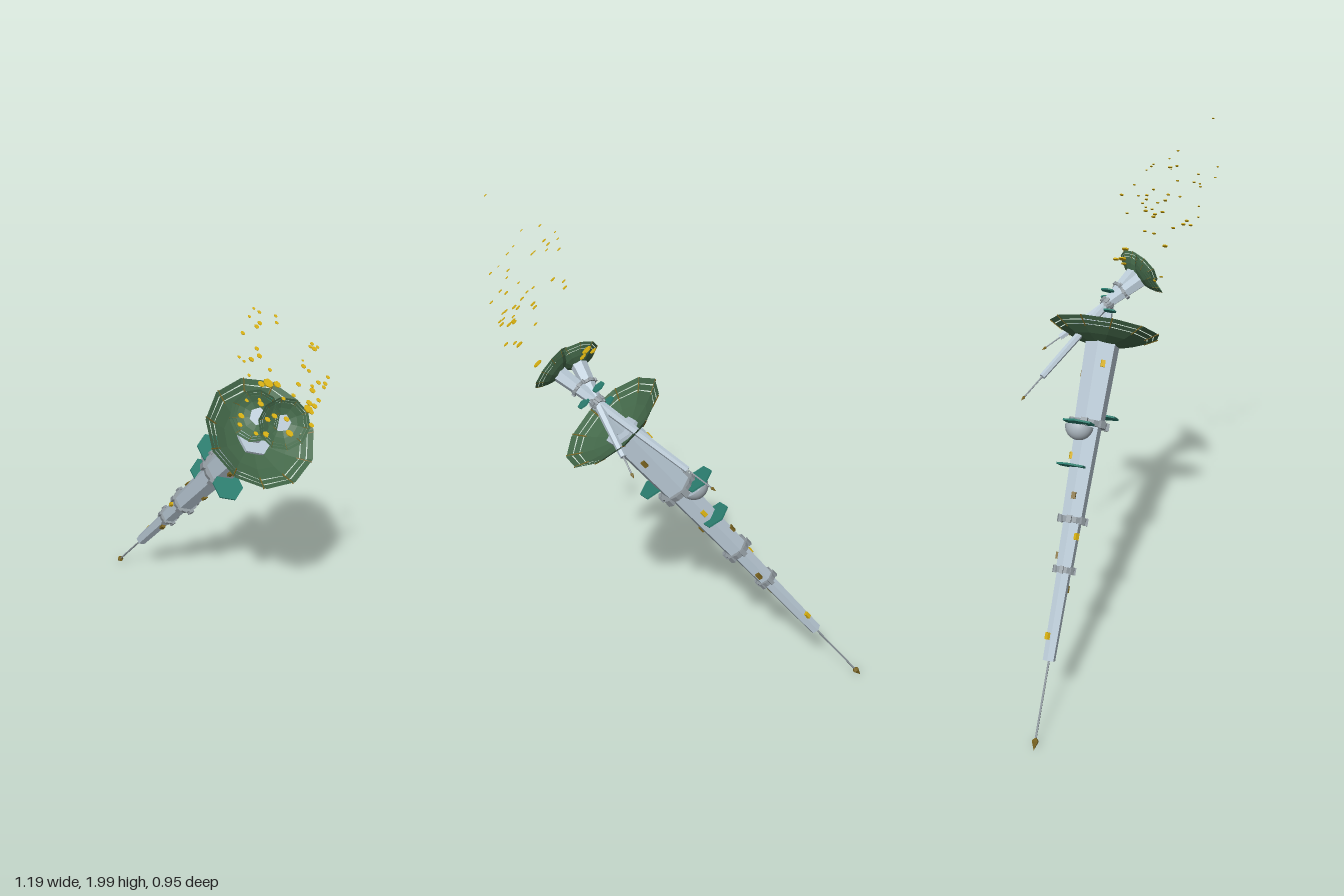
import * as THREE from 'three';

const V = (x, y, z) => new THREE.Vector3(x, y, z);
const UP = V(0, 1, 0);
const mat = (color, opts = {}) => new THREE.MeshStandardMaterial({ color, flatShading: true, ...opts });
const steel = mat(0xb9c9d5), grey = mat(0x8f989e), teal = mat(0x2b7f70), gold = mat(0xd8b010);
const bronze = mat(0x7a6420), green = mat(0x44694a, { side: THREE.DoubleSide });

// small seeded generator for the scattered flakes
let seed = 11;
const rand = () => (seed = (seed * 16807) % 2147483647) / 2147483647;

function add(parent, name, geometry, material, x = 0, y = 0, z = 0) {
  const m = new THREE.Mesh(geometry, material);
  m.name = name;
  m.position.set(x, y, z);
  parent.add(m);
  return m;
}

// straight prism on the local y axis from y0 to y1
function prism(parent, name, y0, y1, r0, r1, sides, material) {
  return add(parent, name, new THREE.CylinderGeometry(r1, r0, y1 - y0, sides), material, 0, (y0 + y1) / 2, 0);
}

// group whose local y runs from a towards b
function axisGroup(name, a, b) {
  const g = new THREE.Group();
  g.name = name;
  g.position.copy(a);
  g.quaternion.setFromUnitVectors(UP, b.clone().sub(a).normalize());
  return g;
}

// needle with a pointed weight at its far end
function needle(parent, length, r, tip) {
  prism(parent, 'needle', tip * 0.8, length, r, r, 6, grey);
  prism(parent, 'needleTip', 0, tip * 0.75, 0.0005, tip * 0.3, 6, bronze);
  prism(parent, 'needleTipBack', tip * 0.75, tip, tip * 0.3, r, 6, bronze);
}

// joint ring with a crown of small blocks
function collar(parent, y, r, h) {
  prism(parent, 'collar', y - h / 2, y + h / 2, r * 0.94, r, 12, grey);
  for (let i = 0; i < 6; i++) {
    const a = (i / 6) * Math.PI * 2;
    const b = add(parent, 'collarBlock', new THREE.BoxGeometry(r * 0.35, h * 1.3, r * 0.2), grey,
      Math.sin(a) * r, y, Math.cos(a) * r);
    b.rotation.y = a;
  }
}

// faceted bowl in three bands split by narrow slits, joined by ribs
function dish(parent, y, R, depth, sides) {
  const g = new THREE.Group();
  g.name = 'dish';
  g.position.y = y;
  parent.add(g);
  const rise = (f) => depth * (f * f - 1);
  const bands = [[0.001, 0.3, 0.58, 0.8], [0.815, 0.9], [0.915, 1]];
  bands.forEach((band, i) => {
    const pts = band.map((f) => new THREE.Vector2(f * R, rise(f)));
    add(g, 'dishBand', new THREE.LatheGeometry(pts, sides), green).rotation.y = i * 0.025;
  });
  for (let i = 0; i < sides; i++) {
    const a = (i / sides) * Math.PI * 2;
    const at = (f) => V(Math.sin(a) * R * f, rise(f), Math.cos(a) * R * f);
    const rib = axisGroup('dishRib', at(0.76), at(1));
    prism(rib, 'rib', 0, at(1).distanceTo(at(0.76)), R * 0.012, R * 0.012, 4, bronze);
    g.add(rib);
  }
}

// telescoping side barrel ending in a small dish
function barrel(name, tail, head, hubAt) {
  const g = axisGroup(name, tail, head);
  const L = tail.distanceTo(head);
  const start = 0.17 * L;
  needle(g, start, 0.003, 0.02);
  prism(g, 'barrelRear', start, hubAt, 0.012, 0.017, 6, steel);
  prism(g, 'barrelFront', hubAt, L - 0.035, 0.021, 0.031, 6, steel);
  collar(g, hubAt, 0.026, 0.018);
  collar(g, (hubAt + L) / 2 - 0.02, 0.031, 0.01);
  dish(g, L, 0.09, 0.045, 10);
  return g;
}

export function createModel() {
  const root = new THREE.Group();
  root.name = 'telescopicStaff';
  const tip = V(-0.6, 0.005, -0.49), top = V(0.27, 1.265, -0.02);
  const q = new THREE.Quaternion().setFromUnitVectors(UP, top.clone().sub(tip).normalize());

  // main shaft: stepped hexagonal sections
  const shaft = axisGroup('mainShaft', tip, top);
  root.add(shaft);
  needle(shaft, 0.33, 0.004, 0.045);
  const sections = [[0.33, 0.67, 0.024, 0.028], [0.67, 0.86, 0.033, 0.036], [0.86, 1.23, 0.044, 0.052],
    [1.23, 1.555, 0.059, 0.068]];
  sections.forEach(([a, b, r0, r1], i) => {
    prism(shaft, 'shaftSection', a, b, r0, r1, 6, steel);
    if (i) collar(shaft, a, r0 * 1.2, 0.022);
  });
  prism(shaft, 'hubPost', 1.53, 1.7, 0.024, 0.018, 6, steel);
  dish(shaft, 1.605, 0.215, 0.07, 11);

  // small gilt and dark fittings on the shaft faces
  const fittings = [[0.42, 0.026, 3.6], [0.6, 0.028, 0.5], [0.72, 0.034, 2.6], [0.8, 0.035, 5.2], [0.95, 0.043, 4.2],
    [1.02, 0.045, 1.0], [1.1, 0.047, 3.1], [1.33, 0.057, 0.5], [1.42, 0.058, 2.6], [1.46, 0.058, 4.7]];
  fittings.forEach(([y, r, a], i) => {
    const f = add(shaft, 'fitting', new THREE.BoxGeometry(0.016, 0.026, 0.014), i % 3 ? bronze : gold,
      Math.sin(a) * r, y, Math.cos(a) * r);
    f.rotation.y = a;
  });

  // hexagonal vanes square to the shaft, one carrying a dome beneath
  const vanes = [[0.13, 0.96, -0.06, 0.062], [0.01, 1.02, -0.18, 0.062], [-0.04, 0.865, -0.22, 0.06]];
  vanes.forEach(([x, y, z, r]) => {
    add(root, 'vane', new THREE.CylinderGeometry(r, r, 0.007, 6), teal, x, y, z).quaternion.copy(q);
  });
  const dome = new THREE.SphereGeometry(0.054, 20, 10, 0, Math.PI * 2, Math.PI / 2, Math.PI / 2);
  add(root, 'dome', dome, new THREE.MeshStandardMaterial({ color: 0xa9b4bc, side: THREE.DoubleSide }),
    0.025, 0.995, -0.175).quaternion.copy(q);

  // two crossed barrels pivoting over the dish
  root.add(barrel('centreBarrel', V(0.32, 1.18, -0.26), V(0.317, 1.46, 0.165), 0.31));
  root.add(barrel('slantedBarrel', V(0.065, 1.11, -0.385), V(0.418, 1.447, 0.15), 0.52));
  const hub = [[0.275, 1.34, 0.0], [0.365, 1.355, 0.01], [0.31, 1.41, 0.0]];
  hub.forEach(([x, y, z]) => {
    add(root, 'hubVane', new THREE.CylinderGeometry(0.026, 0.026, 0.006, 6), teal, x, y, z).quaternion.copy(q);
  });

  // gold flakes near the dishes, then the rising cloud
  function flake(x, y, z, r) {
    const f = add(root, 'flake', new THREE.CylinderGeometry(r, r, r * 0.3, 7), gold, x, y, z);
    f.quaternion.copy(q);
    f.scale.set(1, 1, 0.75);
  }
  const near = [[0.32, 1.53, 0.06, 0.019], [0.345, 1.52, 0.04, 0.014], [0.295, 1.52, 0.06, 0.013],
    [0.27, 1.45, 0.17, 0.012], [0.27, 1.42, 0.18, 0.01], [0.37, 1.415, 0.19, 0.013], [0.345, 1.43, 0.22, 0.009],
    [0.485, 1.5, 0.11, 0.017], [0.48, 1.5, 0.27, 0.014]];
  near.forEach((p) => flake(...p));
  const count = 42;
  for (let i = 0; i < count; i++) {
    const k = i / (count - 1);
    const a = rand() * Math.PI * 2, r = 0.165 * Math.sqrt(0.25 + 0.75 * rand());
    const p = V(Math.cos(a) * r, 0, Math.sin(a) * r).applyQuaternion(q);
    p.add(V(0.42 + 0.03 * k, 1.62 + 0.23 * k, 0.21 + 0.1 * k));
    flake(Math.min(p.x, 0.59), Math.min(p.y, 1.97), Math.min(p.z, 0.48), (0.011 - 0.005 * k) * (0.7 + 0.5 * rand()));
  }
  flake(0.485, 1.995, 0.45, 0.006);
  return root;
}
